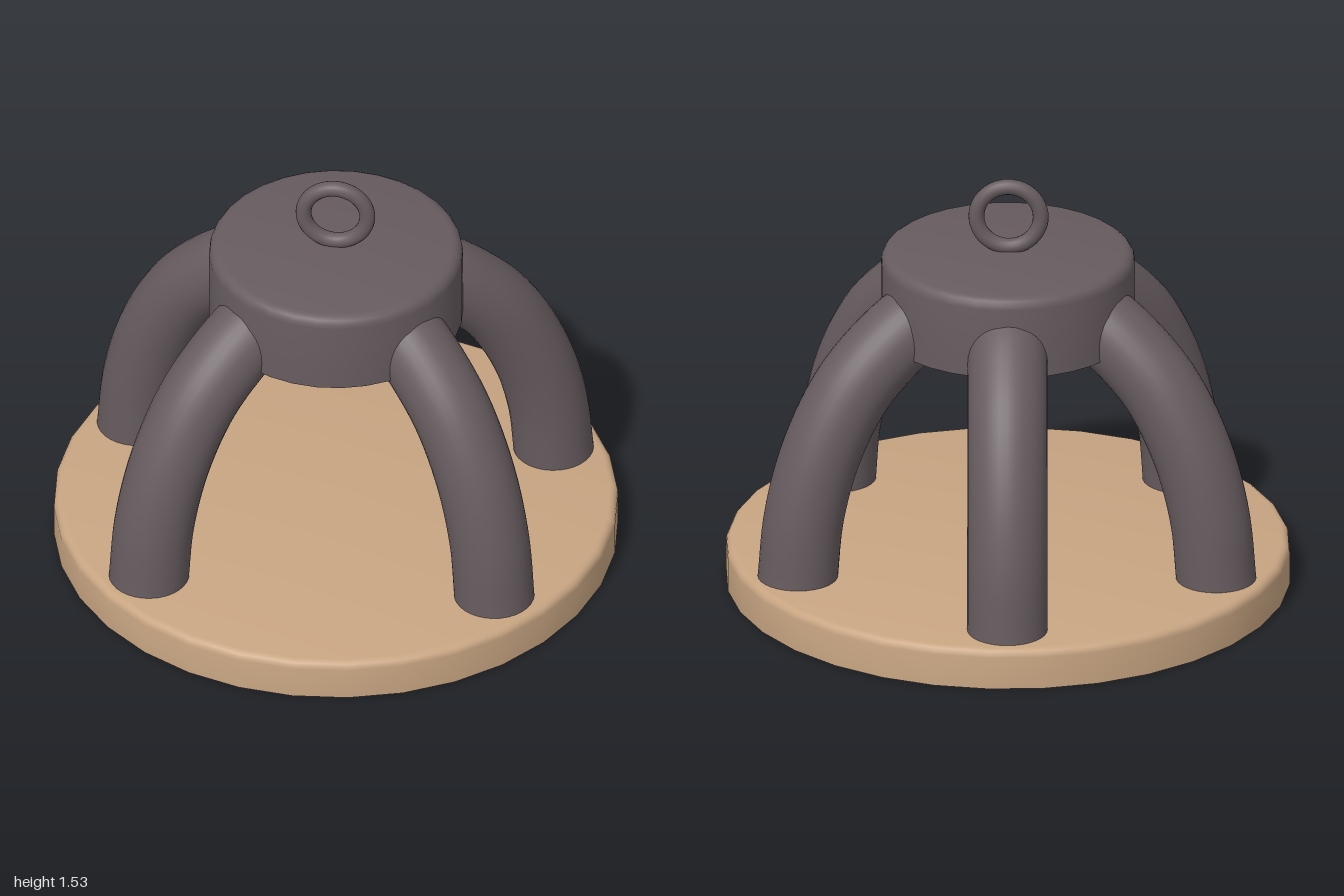
import * as THREE from 'three';
import { toCreasedNormals } from 'three/addons/utils/BufferGeometryUtils.js';

// Solid disc with a rounded top rim and a sharp bottom edge
function roundedDisc(radius, y0, y1, bevel, segments) {
  const points = [new THREE.Vector2(0, y0), new THREE.Vector2(radius, y0)];
  for (let i = 0; i <= 4; i++) {
    const a = (i / 4) * Math.PI / 2;
    points.push(new THREE.Vector2(
      radius - bevel + bevel * Math.cos(a),
      y1 - bevel + bevel * Math.sin(a)));
  }
  points.push(new THREE.Vector2(0, y1));
  return toCreasedNormals(new THREE.LatheGeometry(points, segments), 0.7);
}

export function createModel() {
  const model = new THREE.Group();
  model.name = 'domedCageOnBase';

  const wood = new THREE.MeshStandardMaterial({ color: 0xc8a582 });
  wood.name = 'tan wood';
  const iron = new THREE.MeshStandardMaterial({ color: 0x675c60 });
  iron.name = 'dark iron';

  const add = (name, geometry, material) => {
    const mesh = new THREE.Mesh(geometry, material);
    mesh.name = name;
    model.add(mesh);
    return mesh;
  };

  const twist = THREE.MathUtils.degToRad(-3.2);

  // Round base plate
  add('base', roundedDisc(1, 0, 0.15, 0.03, 32), wood).rotation.y = twist;

  // Hub at the top of the arms
  add('hub', roundedDisc(0.45, 0.96, 1.262, 0.04, 32), iron).rotation.y = twist;

  // Five arched arms, from the base up into the hub
  const arch = new THREE.CatmullRomCurve3([
    [0.817, 0.13], [0.79, 0.38], [0.72, 0.62], [0.605, 0.83],
    [0.48, 0.96], [0.36, 1.045], [0.18, 1.11],
  ].map(([r, y]) => new THREE.Vector3(r, y, 0)));
  const armGeometry = new THREE.TubeGeometry(arch, 28, 0.142, 32);
  const feet = [[-0.008, -0.817], [0.74, -0.343], [0.617, 0.535], [-0.613, 0.54], [-0.748, -0.343]];
  feet.forEach(([x, z], i) => {
    add('arm' + (i + 1), armGeometry, iron).rotation.y = Math.atan2(-z, x);
  });

  // Upright hanging ring
  const ring = add('ring', new THREE.TorusGeometry(0.114, 0.028, 16, 48), iron);
  ring.position.set(-0.002, 1.39, 0);
  ring.rotation.y = twist / 2;

  return model;
}
